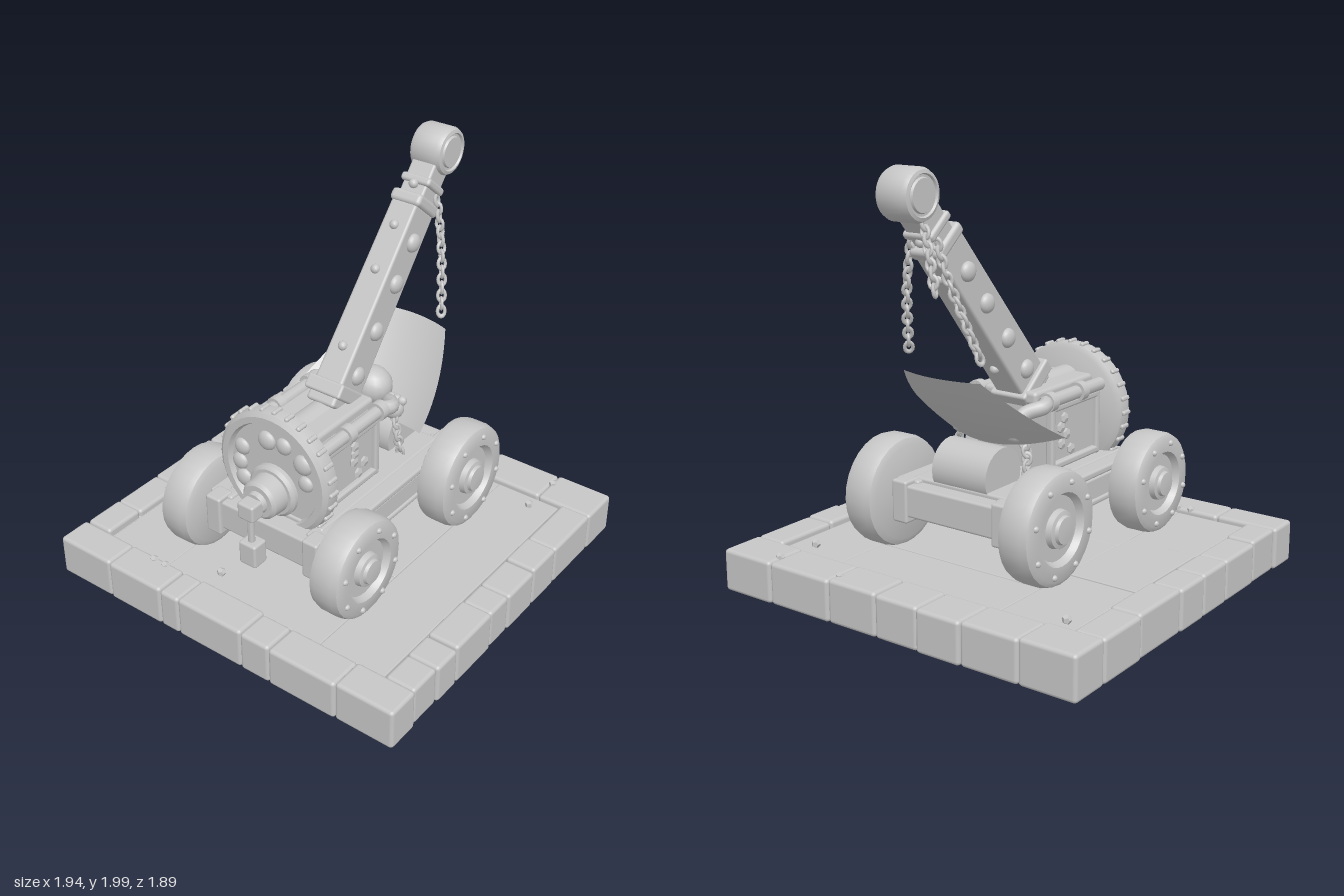
import * as THREE from 'three';
import { toCreasedNormals } from 'three/addons/utils/BufferGeometryUtils.js';
import { RoundedBoxGeometry } from 'three/addons/geometries/RoundedBoxGeometry.js';

export function createModel() {
  const root = new THREE.Group();
  root.name = 'siegeEngine';
  const stone = new THREE.MeshStandardMaterial({ color: 0xc6c6c6, side: THREE.DoubleSide });
  stone.name = 'plain grey';

  let seed = 7;
  const rnd = () => (seed = (seed * 16807) % 2147483647) / 2147483647;
  const jit = (a) => (rnd() - 0.5) * 2 * a;

  const add = (parent, name, geo, x = 0, y = 0, z = 0) => {
    const m = new THREE.Mesh(geo, stone);
    m.name = name;
    m.position.set(x, y, z);
    parent.add(m);
    return m;
  };
  const group = (name, parent = root) => {
    const g = new THREE.Group();
    g.name = name;
    parent.add(g);
    return g;
  };
  const box = (w, h, d, r = 0.012) => new RoundedBoxGeometry(w, h, d, 2, r);
  // box given by its limits
  const span = (p, name, x0, x1, y0, y1, z0, z1, r) =>
    add(p, name, box(x1 - x0, y1 - y0, z1 - z0, r), (x0 + x1) / 2, (y0 + y1) / 2, (z0 + z1) / 2);
  const turned = (pts, n = 32) => toCreasedNormals(
    new THREE.LatheGeometry(pts.map(([r, h]) => new THREE.Vector2(r, h)), n), 0.6);
  const vec = (p) => new THREE.Vector3(...p);
  const tube = (pts, r) => new THREE.TubeGeometry(new THREE.CatmullRomCurve3(pts.map(vec)), 16, r, 10);

  // Stone base: core, sunken floor slabs and a rim of uneven blocks
  const base = group('base');
  span(base, 'baseCore', -0.945, 0.945, 0.004, 0.165, -0.92, 0.92, 0.01);
  const floor = [
    [-0.8, -0.44, -0.72, -0.22], [-0.8, -0.44, -0.22, 0.3], [-0.8, -0.44, 0.3, 0.77],
    [-0.44, 0.46, -0.72, -0.42], [-0.44, 0.46, -0.42, 0.2], [-0.44, 0.46, 0.2, 0.77], [0.46, 0.8, -0.72, 0.77]];
  for (const [x0, x1, z0, z1] of floor) span(base, 'floorSlab', x0, x1, 0.1, 0.182 + jit(0.003), z0, z1, 0.006);
  const rimX = (cuts, z0, z1) => cuts.slice(1).forEach((c, i) =>
    span(base, 'rimStone', cuts[i], c, 0, 0.203 + jit(0.006), z0 + jit(0.006), z1 + jit(0.006), 0.018));
  const rimZ = (cuts, x0, x1) => cuts.slice(1).forEach((c, i) =>
    span(base, 'rimStone', x0 + jit(0.006), x1 + jit(0.006), 0, 0.203 + jit(0.006), cuts[i], c, 0.018));
  rimX([-0.97, -0.65, -0.33, -0.22, 0.15, 0.31, 0.67, 0.97], 0.77, 0.94);
  rimX([-0.97, -0.69, -0.4, -0.17, 0.06, 0.33, 0.68, 0.97], -0.94, -0.73);
  rimZ([-0.73, -0.45, -0.12, 0.08, 0.29, 0.56, 0.77], -0.965, -0.815);
  rimZ([-0.73, -0.4, -0.2, 0.02, 0.17, 0.45, 0.6, 0.77], 0.81, 0.965);
  for (const [x, z] of [[-0.74, -0.66], [0.68, -0.64], [0.69, -0.86], [0.31, -0.87], [-0.43, 0.79], [-0.5, 0.79], [-0.19, 0.67]])
    add(base, 'pebble', new THREE.DodecahedronGeometry(0.022), x, 0.2, z);

  // Wheels with raised hub ring, cap and rim rivets
  const wheel = (side, z, r) => {
    const g = group('wheel');
    g.position.set(side * 0.43, 0.185 + r, z);
    g.rotation.z = -side * Math.PI / 2;
    add(g, 'tyre', turned([[0, -0.075], [r * 0.85, -0.085], [r * 0.96, -0.07], [r, -0.04], [r, 0.045], [r * 0.96, 0.075],
      [r * 0.88, 0.088], [r * 0.63, 0.088], [r * 0.6, 0.072], [r * 0.56, 0.058], [r * 0.34, 0.058],
      [r * 0.32, 0.085], [r * 0.25, 0.09], [r * 0.23, 0.105], [r * 0.1, 0.108], [0, 0.108]], 28));
    for (let i = 0; i < 8; i++) {
      const a = i * Math.PI / 4 + 0.3;
      add(g, 'rimRivet', new THREE.SphereGeometry(0.016, 8, 6), Math.cos(a) * r * 0.8, 0.086, Math.sin(a) * r * 0.8);
    }
  };
  for (const s of [-1, 1]) {
    wheel(s, 0.475, 0.243);
    wheel(s, -0.367, 0.262);
  }

  // Chassis: rails, cross beams and axles
  const chassis = group('chassis');
  for (const s of [-1, 1]) {
    const cx = s * 0.28;
    add(chassis, 'sideRail', box(0.1, 0.12, 0.98), cx, 0.44, 0.05);
    add(chassis, 'railCap', box(0.13, 0.035, 1.0), cx, 0.525, 0.05);
    add(chassis, 'railFoot', box(0.12, 0.03, 0.98), cx, 0.385, 0.05);
    add(chassis, 'frontBracket', box(0.085, 0.2, 0.1), cx, 0.45, 0.56);
    add(chassis, 'rearBracket', box(0.085, 0.2, 0.1), cx, 0.45, -0.46);
  }
  span(chassis, 'frontBeam', -0.28, 0.28, 0.38, 0.53, 0.46, 0.59);
  span(chassis, 'rearBeam', -0.28, 0.28, 0.38, 0.53, -0.5, -0.38);
  span(chassis, 'deck', -0.27, 0.27, 0.46, 0.55, -0.42, 0.5);
  for (const z of [0.475, -0.367])
    add(chassis, 'axle', new THREE.CylinderGeometry(0.05, 0.05, 0.74, 16), 0, 0.43, z).rotation.z = Math.PI / 2;
  add(chassis, 'rearDrum', new THREE.CylinderGeometry(0.13, 0.13, 0.3, 24), 0, 0.6, -0.3).rotation.z = Math.PI / 2;

  // Body box with framed side panels
  const body = group('body');
  span(body, 'bodyBox', -0.19, 0.19, 0.54, 0.88, -0.01, 0.42);
  span(body, 'bodyTop', -0.15, 0.15, 0.86, 0.925, -0.05, 0.42, 0.02);
  for (const s of [-1, 1]) {
    const x = s * 0.195;
    for (const y of [0.57, 0.845]) add(body, 'panelFrame', box(0.04, 0.035, 0.4), x, y, 0.19);
    for (const z of [0.005, 0.375]) add(body, 'panelFrame', box(0.04, 0.3, 0.035), x, 0.7, z);
    for (let i = 0; i < 5; i++)
      add(body, 'panelCarving', new THREE.DodecahedronGeometry(0.028), x, 0.62 + i * 0.04, 0.12 + jit(0.05)).scale.x = 0.5;
    // Side bars ending in clenched fists that hold the sling
    add(body, 'sideBar', tube([[s * 0.2, 0.885, 0.4], [s * 0.2, 0.885, 0.2], [s * 0.2, 0.885, -0.06]], 0.032));
    for (const z of [0.225, -0.02])
      add(body, 'barRing', new THREE.CylinderGeometry(0.046, 0.046, 0.045, 16), s * 0.2, 0.885, z).rotation.x = Math.PI / 2;
    add(body, 'gripArm', tube([[s * 0.2, 0.885, -0.04], [s * 0.22, 0.88, -0.09], [s * 0.16, 0.85, -0.16], [s * 0.15, 0.79, -0.21]], 0.035));
    add(body, 'fist', new THREE.SphereGeometry(0.05, 14, 10), s * 0.15, 0.78, -0.21);
    for (let i = 0; i < 3; i++)
      add(body, 'finger', new THREE.SphereGeometry(0.024, 10, 8), s * (0.12 + i * 0.03), 0.82, -0.235);
  }
  add(body, 'neck', new THREE.CylinderGeometry(0.075, 0.075, 0.28, 20), 0, 0.87, 0.29).rotation.x = Math.PI / 2;

  // Round front shield with studs, hub and hanging weight
  const front = group('frontShield');
  const disc = add(front, 'shieldDisc', turned([[0, -0.05], [0.28, -0.05], [0.305, -0.035], [0.31, 0], [0.305, 0.035],
    [0.285, 0.05], [0.255, 0.05], [0.245, 0.025], [0, 0.025]], 40), 0, 0.745, 0.465);
  disc.rotation.x = Math.PI / 2;
  for (let i = 0; i < 28; i++) {
    const a = i * Math.PI / 14;
    add(front, 'edgeKnob', box(0.022, 0.04, 0.06, 0.009), Math.sin(a) * 0.3, 0.745 + Math.cos(a) * 0.3, 0.465).rotation.z = -a;
  }
  for (const [x, y, r] of [[-0.04, 0.9, 0.048], [0.055, 0.905, 0.042], [0.16, 0.85, 0.05], [0.175, 0.755, 0.04],
    [-0.185, 0.81, 0.042], [-0.2, 0.725, 0.042], [-0.18, 0.645, 0.045]])
    add(front, 'stud', new THREE.SphereGeometry(r, 14, 10), x, y, 0.49).scale.z = 0.6;
  add(front, 'hub', turned([[0, 0], [0.13, 0], [0.13, 0.03], [0.115, 0.045], [0.1, 0.045], [0.095, 0.12], [0.08, 0.135],
    [0.055, 0.135], [0.05, 0.16], [0, 0.16]]), 0, 0.655, 0.48).rotation.x = Math.PI / 2;
  add(front, 'hubBolt', box(0.09, 0.085, 0.08), 0, 0.645, 0.665);
  add(front, 'weightLink', box(0.03, 0.16, 0.03), 0, 0.53, 0.665);
  add(front, 'weight', box(0.095, 0.12, 0.085), 0, 0.41, 0.66);

  // Tilted throwing arm
  const arm = group('arm');
  arm.position.set(0, 0.93, 0.055);
  arm.rotation.x = -0.695;
  const beam = box(0.155, 1, 0.2, 0.015);
  const bp = beam.attributes.position;
  for (let i = 0; i < bp.count; i++) {
    const k = 1 - 0.1 * (bp.getY(i) + 0.5);
    bp.setXYZ(i, bp.getX(i) * k, bp.getY(i), bp.getZ(i) * k);
  }
  add(arm, 'armBeam', beam, 0, 0.44, 0);
  add(arm, 'armFoot', box(0.2, 0.07, 0.24), 0, 0.02, 0);
  add(arm, 'collar', box(0.165, 0.06, 0.2, 0.02), 0, 0.96, 0);
  add(arm, 'armTip', box(0.13, 0.24, 0.13), 0, 1.07, 0);
  add(arm, 'tipCollar', box(0.16, 0.04, 0.16, 0.015), 0, 1.055, 0);
  add(arm, 'head', turned([[0, -0.085], [0.07, -0.085], [0.075, -0.075], [0.085, -0.075], [0.09, -0.085], [0.105, -0.08],
    [0.115, -0.06], [0.115, 0.06], [0.105, 0.08], [0.09, 0.085], [0.085, 0.075], [0.075, 0.075], [0.07, 0.085], [0, 0.085]]),
  0, 1.235, 0).rotation.z = Math.PI / 2;
  for (const h of [0.12, 0.34, 0.575, 0.78])
    for (const s of [-1, 1])
      add(arm, 'sideBolt', new THREE.SphereGeometry(0.045, 16, 12), s * 0.075, h, 0).scale.x = 0.65;
  for (const [h, z] of [[0.22, 0.098], [0.6, 0.094], [0.82, 0.091], [1.03, 0.075]])
    for (const s of [-1, 1])
      add(arm, 'faceBolt', new THREE.SphereGeometry(0.023, 12, 8), 0, h, s * z);

  // Chains of alternating links
  const chain = (pts, parent = root) => {
    const g = group('chain', parent);
    const curve = new THREE.CatmullRomCurve3(pts.map(vec));
    const n = Math.round(curve.getLength() / 0.036);
    for (let i = 0; i <= n; i++) {
      const link = add(g, 'chainLink', new THREE.TorusGeometry(0.018, 0.0085, 6, 12), ...curve.getPointAt(i / n));
      link.scale.y = 1.35;
      link.quaternion.setFromUnitVectors(new THREE.Vector3(0, 1, 0), curve.getTangentAt(i / n));
      link.rotateY(i % 2 * Math.PI / 2 + 0.5);
    }
  };
  for (const s of [-1, 1]) {
    chain([[s * 0.07, 1.67, -0.64], [s * 0.11, 1.52, -0.62], [s * 0.15, 1.37, -0.58], [s * 0.195, 1.18, -0.52]]);
    chain([[s * 0.15, 0.78, -0.2], [s * 0.19, 0.7, -0.18], [s * 0.2, 0.56, -0.2]]);
  }
  chain([[-0.06, 1.76, -0.71], [-0.1, 1.65, -0.73], [-0.14, 1.5, -0.745]]);

  // Curved sling plate, cupped towards the front, with its stone ball
  const sling = new THREE.PlaneGeometry(2, 1, 16, 10);
  const sp = sling.attributes.position;
  for (let i = 0; i < sp.count; i++) {
    const u = sp.getX(i), v = sp.getY(i) + 0.5;
    const cup = u * u;
    sp.setXYZ(i, u * (0.36 - 0.06 * v - 0.09 * v * v),
      0.71 + 0.3 * v + 0.07 * v * v + cup * 0.06 * (1 - v),
      -0.22 - 0.4 * v + 0.04 * v * v + cup * (0.1 - 0.06 * v));
  }
  sling.computeVertexNormals();
  add(root, 'sling', sling);
  const ball = add(root, 'stoneBall', new THREE.SphereGeometry(0.095, 16, 12), 0, 0.845, -0.24);
  ball.scale.set(1.1, 1, 1);

  return root;
}
